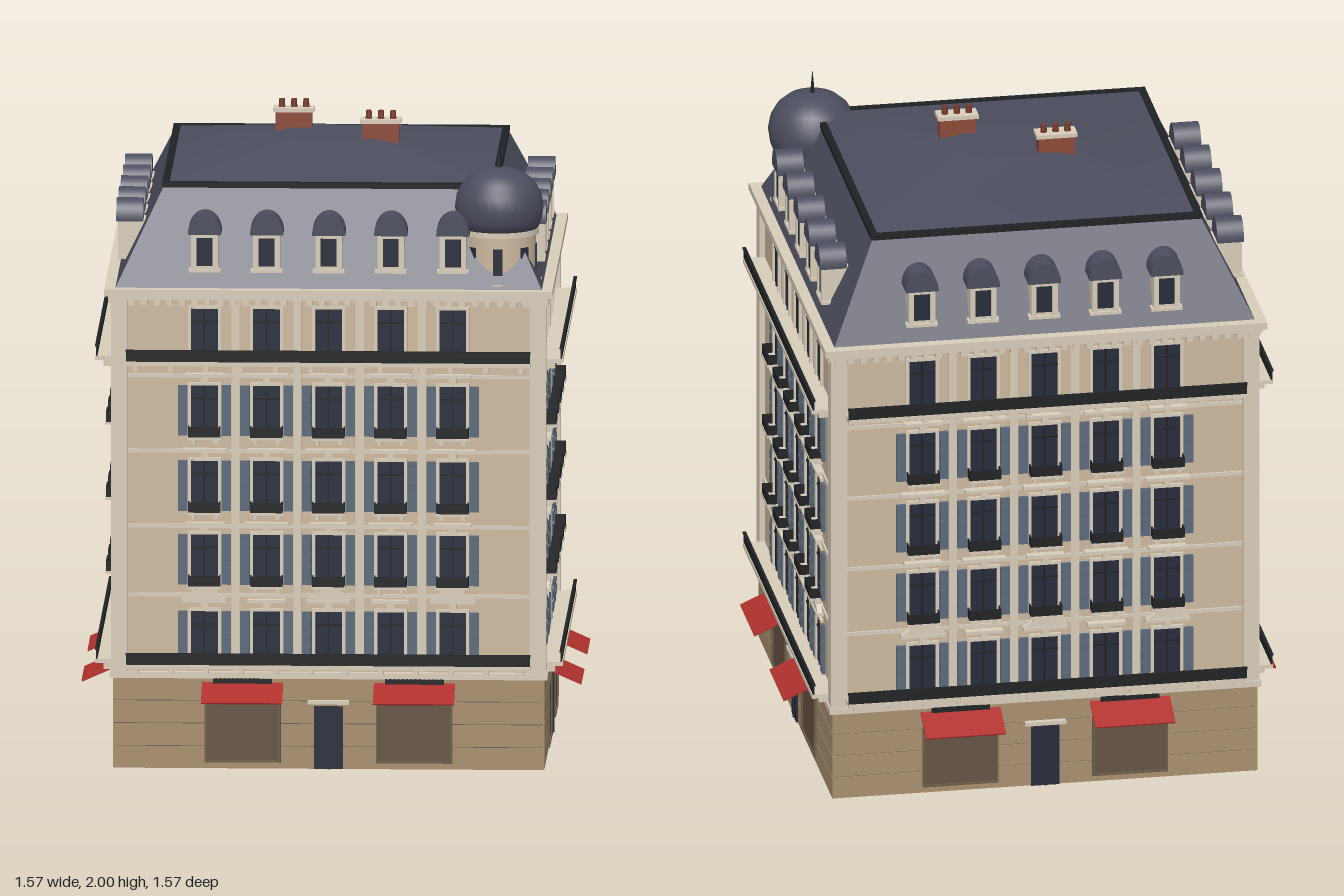
import * as THREE from 'three';
import { mergeGeometries } from 'three/addons/utils/BufferGeometryUtils.js';

const C = {
  wall: 0xcdb99f, trim: 0xd8cdba, stone: 0xa98f70, groove: 0x6e5c48, roof: 0x4c4e5e, glass: 0x262c3a,
  shutter: 0x5c6a7c, iron: 0x1f2225, red: 0xb0302c, brick: 0x8c4a38, shop: 0x665444, pot: 0x7a3a2c,
};
const mats = {};
for (const k in C) mats[k] = new THREE.MeshStandardMaterial({ color: C[k] });

// box by centre x, bottom/top y, back/front z
const box = (x, w, y0, y1, z0, z1) =>
  new THREE.BoxGeometry(w, y1 - y0, z1 - z0).translate(x, (y0 + y1) / 2, (z0 + z1) / 2);
const slab = (half, y0, y1) => box(0, half * 2, y0, y1, -half, half);

// one named mesh from a list of geometries
function part(parent, name, color, geos) {
  const list = geos.map((g) => (g.index ? g.toNonIndexed() : g));
  const mesh = new THREE.Mesh(mergeGeometries(list), mats[color]);
  mesh.name = name;
  parent.add(mesh);
  return mesh;
}

// square frustum aligned with the axes
const frustum = (low, high, y0, y1) => new THREE.CylinderGeometry(
  high * Math.SQRT2, low * Math.SQRT2, y1 - y0, 4, 1).rotateY(Math.PI / 4).translate(0, (y0 + y1) / 2, 0);

const BAYS = [-0.39, -0.195, 0, 0.195, 0.39];
const W = 0.665; // wall plane
const FLOORS = [[0.335, 0.5], [0.585, 0.745], [0.82, 0.98], [1.06, 1.22], [1.3, 1.465]];

function pediment(x, y) {
  const s = new THREE.Shape();
  s.moveTo(-0.068, 0);
  s.lineTo(0.068, 0);
  s.lineTo(0.035, 0.022);
  s.lineTo(0, 0.05);
  s.lineTo(-0.035, 0.022);
  return new THREE.ExtrudeGeometry(s, { depth: 0.022, bevelEnabled: false }).translate(x, y, W);
}

// upper-storey windows with surrounds, shutters, lintels and small balconies
function addWindows(f) {
  const glass = [], frames = [], surrounds = [], shutters = [], lintels = [], rails = [], sills = [];
  FLOORS.forEach(([y0, y1], i) => BAYS.forEach((x, b) => {
    glass.push(box(x, 0.084, y0, y1, W - 0.01, W + 0.003));
    frames.push(box(x, 0.006, y0, y1, W, W + 0.007), box(x, 0.084, y1 - 0.045, y1 - 0.04, W, W + 0.006));
    for (const s of [-1, 1]) {
      surrounds.push(box(x + s * 0.047, 0.01, y0, y1 + 0.01, W, W + 0.01));
      if (i < 4) {
        shutters.push(box(x + s * 0.068, 0.03, y0, y1, W, W + 0.01));
        for (let k = 1; k < 4; k++) {
          const y = y0 + (y1 - y0) * k / 4;
          shutters.push(box(x + s * 0.068, 0.024, y - 0.016, y + 0.016, W, W + 0.013));
        }
      }
    }
    surrounds.push(box(x, 0.084, y1, y1 + 0.01, W, W + 0.01));
    if (i < 4) {
      lintels.push(box(x, 0.022, y1 + 0.008, y1 + 0.034, W, W + 0.018));
      lintels.push(box(x, i % 2 === b % 2 ? 0.14 : 0.12, y1 + 0.03, y1 + 0.04, W, W + 0.026));
      if (i === 0 && b % 2 === 0) lintels.push(pediment(x, y1 + 0.04));
    }
    if (i > 0 && i < 4) {
      sills.push(box(x, 0.105, y0 - 0.008, y0, W, W + 0.045));
      for (const s of [-1, 1]) sills.push(box(x + s * 0.035, 0.012, y0 - 0.025, y0 - 0.008, W, W + 0.025));
      rails.push(box(x, 0.1, y0, y0 + 0.032, W + 0.037, W + 0.043));
      for (const s of [-1, 1]) rails.push(box(x + s * 0.049, 0.004, y0, y0 + 0.032, W, W + 0.04));
    }
  }));
  part(f, 'windowGlass', 'glass', glass);
  part(f, 'windowBars', 'iron', frames);
  part(f, 'windowSurrounds', 'trim', surrounds);
  part(f, 'shutters', 'shutter', shutters);
  part(f, 'lintels', 'trim', lintels);
  part(f, 'windowSills', 'trim', sills);
  part(f, 'windowRailings', 'iron', rails);
}

// full-width balconies on brackets
function addBalconies(f) {
  const slabs = [], rails = [];
  for (const y of [0.325, 1.292]) {
    slabs.push(box(0, 1.27, y, y + 0.013, W, 0.735));
    for (let i = 0; i < 12; i++) slabs.push(box(-0.605 + i * 0.11, 0.018, y - 0.022, y, W, 0.71));
    rails.push(box(0, 1.27, y + 0.013, y + 0.045, 0.728, 0.732), box(0, 1.272, y + 0.043, y + 0.05, 0.725, 0.735));
  }
  part(f, 'balconySlabs', 'trim', slabs);
  part(f, 'balconyRailings', 'iron', rails);
}

// dormers standing in the steep roof slope
function addDormers(f) {
  const bodies = [], panes = [], roofs = [];
  for (const x of BAYS) {
    bodies.push(box(x, 0.084, 1.585, 1.705, 0.58, 0.662), box(x, 0.1, 1.58, 1.59, 0.62, 0.672));
    for (const s of [-1, 1]) bodies.push(box(x + s * 0.034, 0.016, 1.59, 1.7, 0.65, 0.67));
    bodies.push(box(x, 0.084, 1.69, 1.705, 0.65, 0.67));
    panes.push(box(x, 0.05, 1.6, 1.69, 0.65, 0.665));
    roofs.push(new THREE.CylinderGeometry(0.052, 0.052, 0.085, 16, 1, false, Math.PI / 2, Math.PI)
      .rotateX(Math.PI / 2).scale(1, 1.25, 1).translate(x, 1.703, 0.633));
    roofs.push(box(x, 0.104, 1.7, 1.706, 0.592, 0.675));
  }
  part(f, 'dormers', 'trim', bodies);
  part(f, 'dormerWindows', 'glass', panes);
  part(f, 'dormerRoofs', 'roof', roofs);
}

// shops, door and awnings at street level
function addShops(f) {
  const B = 0.678, panes = [], frames = [], awnings = [], signs = [];
  for (const s of [-1, 1]) {
    const x = s * 0.27;
    panes.push(box(x, 0.225, 0.025, 0.215, B - 0.01, B + 0.003));
    for (const e of [-1, 1]) frames.push(box(x + e * 0.116, 0.008, 0.02, 0.222, B - 0.01, B + 0.008));
    for (const y of [0.02, 0.215]) frames.push(box(x, 0.236, y, y + 0.007, B - 0.01, B + 0.008));
    awnings.push(new THREE.BoxGeometry(0.255, 0.005, 0.116).rotateX(0.42).translate(x, 0.249, 0.732));
    signs.push(box(x, 0.185, 0.272, 0.29, B - 0.01, B + 0.01));
  }
  part(f, 'shopWindows', 'shop', panes);
  part(f, 'shopFrames', 'groove', frames);
  part(f, 'awnings', 'red', awnings);
  part(f, 'signBoards', 'iron', signs);
  part(f, 'door', 'glass', [box(0, 0.09, 0, 0.2, B - 0.01, B + 0.005), box(0, 0.006, 0, 0.2, B, B + 0.008)]);
  part(f, 'doorLintel', 'trim', [box(0, 0.13, 0.208, 0.22, B - 0.01, B + 0.018)]);
}

function makeFacade() {
  const f = new THREE.Group();
  addShops(f);
  addWindows(f);
  addBalconies(f);
  addDormers(f);
  const strips = [-0.2925, -0.0975, 0.0975, 0.2925].map((x) => box(x, 0.026, 0.31, 1.49, W, W + 0.006));
  part(f, 'wallStrips', 'trim', strips);
  const dentils = [];
  for (let i = 0; i < 34; i++) dentils.push(box(-0.66 + i * 0.04, 0.02, 1.478, 1.497, W, 0.69));
  part(f, 'dentils', 'trim', dentils);
  part(f, 'roofRidge', 'iron', [box(0, 1.056, 1.825, 1.842, 0.506, 0.528)]);
  return f;
}

function makeTurret() {
  const t = new THREE.Group();
  t.name = 'cornerTurret';
  t.position.set(0.531, 0, 0.531);
  const drum = (r, y0, y1) => new THREE.CylinderGeometry(r, r, y1 - y0, 24).translate(0, (y0 + y1) / 2, 0);
  part(t, 'turretWall', 'wall', [drum(0.116, 1.52, 1.705)]);
  part(t, 'turretRings', 'trim', [drum(0.135, 1.525, 1.545), drum(0.126, 1.69, 1.707)]);
  const panes = [];
  for (let i = 0; i < 8; i++) panes.push(box(0, 0.03, 1.565, 1.655, 0.1, 0.119).rotateY(i * Math.PI / 4));
  part(t, 'turretWindows', 'glass', panes);
  const profile = [[0, 1.705], [0.122, 1.705], [0.134, 1.735], [0.14, 1.775], [0.133, 1.815], [0.112, 1.853],
    [0.08, 1.88], [0.042, 1.893], [0, 1.898]].map((p) => new THREE.Vector2(...p));
  part(t, 'turretDome', 'roof', [new THREE.LatheGeometry(profile, 32)]);
  part(t, 'turretSpire', 'iron', [new THREE.ConeGeometry(0.008, 0.085, 8).translate(0, 1.932, 0)]);
  return t;
}

function makeChimney(x, z) {
  const c = new THREE.Group();
  c.name = 'chimney';
  c.position.set(x, 0, z);
  part(c, 'chimneyStack', 'brick', [box(0, 0.115, 1.86, 1.963, -0.024, 0.024)]);
  part(c, 'chimneyCap', 'trim', [box(0, 0.13, 1.961, 1.974, -0.031, 0.031)]);
  part(c, 'chimneyPots', 'pot', [-0.038, 0, 0.038].map((p) =>
    new THREE.CylinderGeometry(0.009, 0.011, 0.028, 10).translate(p, 1.986, 0)));
  return c;
}

export function createModel() {
  const g = new THREE.Group();
  g.name = 'cornerBuilding';
  // ground floor in stone courses with recessed joints
  const courses = [];
  for (let i = 0; i < 4; i++) courses.push(slab(0.678, i * 0.0725, (i + 1) * 0.0725 - 0.003));
  part(g, 'stoneCourses', 'stone', courses);
  part(g, 'stoneJoints', 'groove', [slab(0.674, 0.001, 0.29)]);
  part(g, 'upperWalls', 'wall', [slab(W, 0.29, 1.52)]);
  // belt, string courses and cornice
  part(g, 'belt', 'trim', [slab(0.688, 0.288, 0.308)]);
  part(g, 'stringCourses', 'trim', [0.545, 0.765, 1.005, 1.245].map((y) => slab(0.671, y, y + 0.012)));
  part(g, 'cornice', 'trim', [slab(0.692, 1.495, 1.508), slab(0.704, 1.508, 1.53)]);
  const piers = [];
  for (const x of [-1, 1]) for (const z of [-1, 1])
    piers.push(box(x * 0.657, 0.052, 0.3, 1.5, z * 0.657 - 0.026, z * 0.657 + 0.026));
  part(g, 'cornerPiers', 'trim', piers);
  // steep lower slope, shallow top
  const steep = part(g, 'mansardRoof', 'roof', [frustum(0.67, 0.52, 1.53, 1.835)]);
  steep.material = mats.roof.clone();
  steep.material.flatShading = true;
  part(g, 'topRoof', 'roof', [frustum(0.52, 0.13, 1.834, 1.912)]);
  // four matching sides
  const facade = makeFacade();
  ['front', 'left', 'back', 'right'].forEach((side, i) => {
    const f = facade.clone();
    f.name = side + 'Facade';
    f.rotation.y = i * Math.PI / 2;
    g.add(f);
  });
  g.add(makeTurret(), makeChimney(-0.135, -0.095), makeChimney(0.145, 0.105));
  return g;
}
